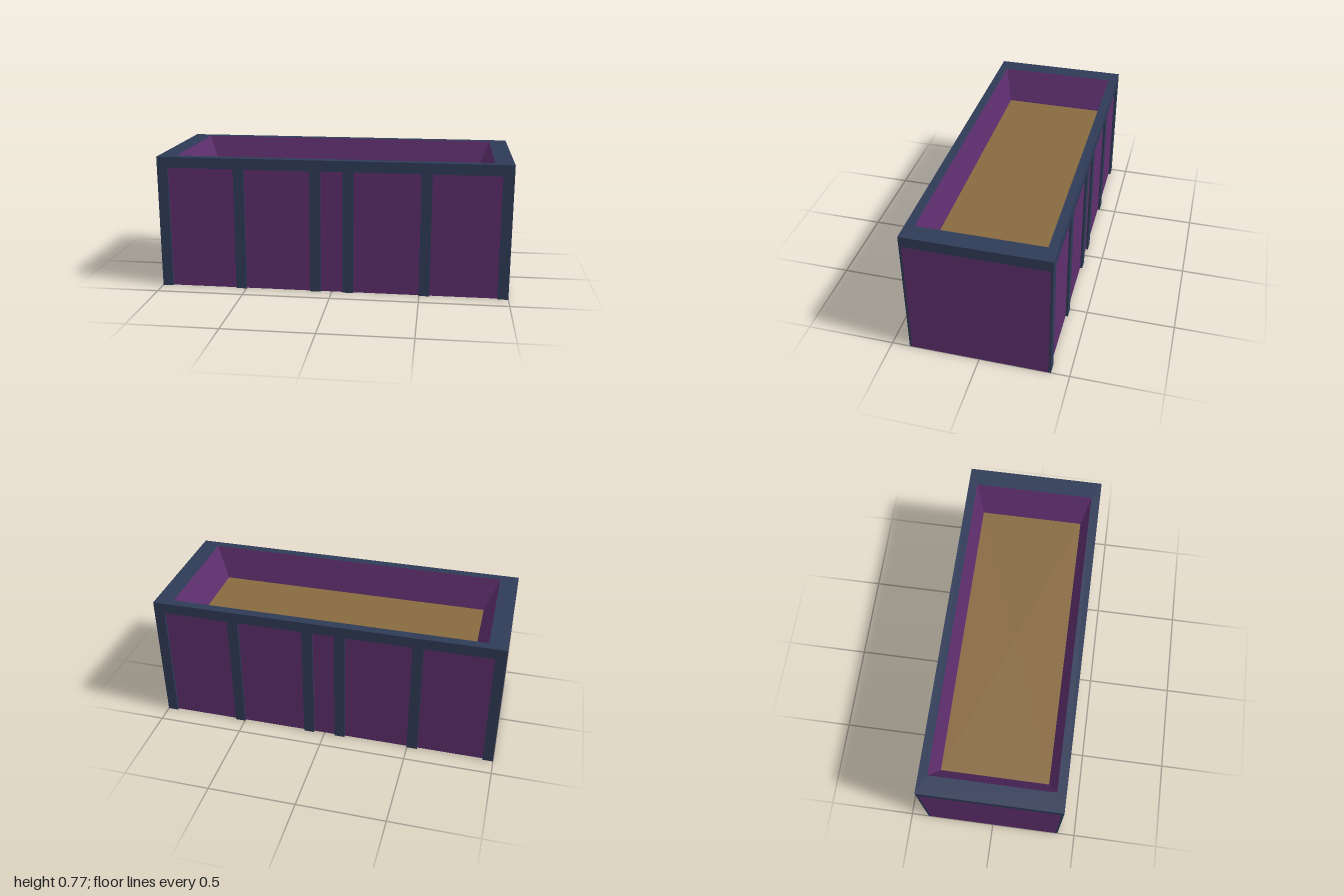
import * as THREE from 'three';

const NAVY = 0x2f3b57, PURPLE = 0x5e2f6e, TAN = 0x876a40;

// Flat-sided skin through rectangular rings [halfX, y, halfZ], outward when rising.
function loft(rings) {
  const signs = [[-1, 1], [1, 1], [1, -1], [-1, -1]];
  const corner = ([hx, y, hz], i) =>
    new THREE.Vector3(signs[i % 4][0] * hx, y, signs[i % 4][1] * hz);
  const pos = [];
  const addTriangle = (a, b, c) => {
    if (new THREE.Triangle(a, b, c).getArea() < 1e-7) return;
    for (const p of [a, b, c]) pos.push(p.x, p.y, p.z);
  };
  for (let r = 0; r < rings.length - 1; r++) {
    for (let i = 0; i < 4; i++) {
      const a = corner(rings[r], i), b = corner(rings[r], i + 1);
      const c = corner(rings[r + 1], i + 1), d = corner(rings[r + 1], i);
      addTriangle(a, b, c);
      addTriangle(a, c, d);
    }
  }
  const geometry = new THREE.BufferGeometry();
  geometry.setAttribute('position', new THREE.Float32BufferAttribute(pos, 3));
  geometry.computeVertexNormals();
  return geometry;
}

export function createModel() {
  const group = new THREE.Group();
  const materials = {};
  const add = (name, geometry, color) => {
    materials[color] ??= new THREE.MeshStandardMaterial({ color, flatShading: true });
    const mesh = new THREE.Mesh(geometry, materials[color]);
    mesh.name = name;
    group.add(mesh);
    return mesh;
  };

  const top = 0.768, railY = 0.706, halfZ = 0.398, panelZ = 0.385;
  const opening = [0.895, top, 0.347], floor = [0.82, 0.572, 0.303];

  // Underside and recessed outer panels
  add('outerPanels', loft([[0, 0, 0], [1, 0, panelZ], [1, railY, panelZ]]), PURPLE);

  // Top rail: lower lip, outer band and flat rim
  add('topRail', loft([[1, railY, panelZ], [1, railY, halfZ], [1, top, halfZ], opening]), NAVY);

  // Sloping inner walls and the raised floor
  add('innerWalls', loft([opening, floor]), PURPLE);
  add('innerFloor', loft([floor, [0, floor[1], 0]]), TAN);

  // Upright battens on the front and back
  const depth = halfZ - panelZ;
  const batten = new THREE.BoxGeometry(0.061, railY, depth);
  for (const side of [1, -1]) {
    for (const x of [0.0935, 0.529, 0.9695]) {
      for (const mirror of [1, -1]) {
        add(side > 0 ? 'frontBatten' : 'backBatten', batten, NAVY)
          .position.set(mirror * x, railY / 2, side * (panelZ + depth / 2));
      }
    }
  }
  return group;
}
